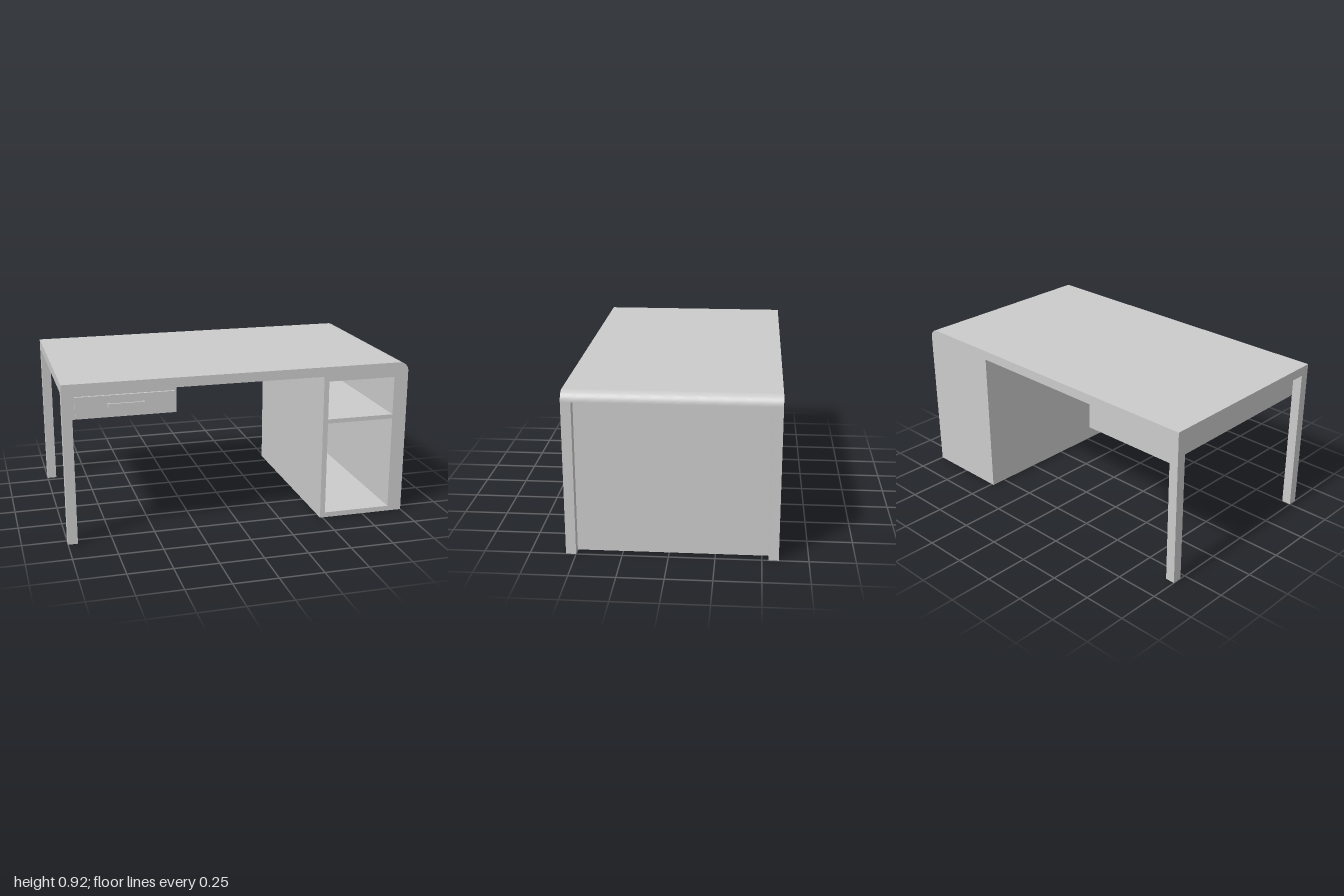
import * as THREE from 'three';

const material = new THREE.MeshStandardMaterial({ color: 0xcccccc });
const BACK = -0.59, FRONT = 0.555, LEG = 0.055, UNDER = 0.86, TOP = 0.915;

export function createModel() {
  const desk = new THREE.Group();
  desk.name = 'desk';

  const add = (name, geometry, parent = desk) => {
    const mesh = new THREE.Mesh(geometry, material);
    mesh.name = name;
    parent.add(mesh);
    return mesh;
  };

  // Box given by its lower and upper corners
  const box = (name, x0, x1, y0, y1, z0, z1, parent) =>
    add(name, new THREE.BoxGeometry(x1 - x0, y1 - y0, z1 - z0), parent)
      .position.set((x0 + x1) / 2, (y0 + y1) / 2, (z0 + z1) / 2);

  // Front outline extruded from z0 to z1
  const extrude = (name, shape, z0, z1) =>
    add(name, new THREE.ExtrudeGeometry(shape, { depth: z1 - z0, bevelEnabled: false, curveSegments: 16 }))
      .position.z = z0;

  const rect = (Type, x0, x1, y0, y1) => new Type([
    new THREE.Vector2(x0, y0), new THREE.Vector2(x1, y0),
    new THREE.Vector2(x1, y1), new THREE.Vector2(x0, y1),
  ]);

  // Top slab with one rounded long corner
  const top = new THREE.Shape();
  top.moveTo(-1, UNDER);
  top.lineTo(1, UNDER);
  top.absarc(1 - LEG, UNDER, LEG, 0, Math.PI / 2, false);
  top.lineTo(-1, TOP);
  top.closePath();
  extrude('desktop', top, BACK, FRONT);

  // Four square legs
  for (const x of [-1, 1 - LEG])
    for (const z of [BACK, FRONT - LEG])
      box('leg', x, x + LEG, 0, UNDER, z, z + LEG);

  // Cabinet with two open compartments and a closed back
  const cabinet = rect(THREE.Shape, 0.485, 1 - LEG, 0, UNDER);
  cabinet.holes.push(
    rect(THREE.Path, 0.515, 0.915, 0.03, 0.58),
    rect(THREE.Path, 0.515, 0.915, 0.605, 0.83),
  );
  extrude('cabinet', cabinet, BACK + 0.03, FRONT);
  box('cabinetBack', 0.485, 1 - LEG, 0, UNDER, BACK, BACK + 0.03);

  // Drawer housing under the other end, running the full depth
  box('drawerHousing', -1 + LEG, -0.375, 0.72, UNDER, BACK, FRONT);

  // Drawer front with a bar handle on two posts
  const drawer = new THREE.Group();
  drawer.name = 'drawer';
  desk.add(drawer);
  box('drawerFront', -0.93, -0.388, 0.733, 0.845, FRONT, 0.568, drawer);
  box('handleBar', -0.755, -0.555, 0.777, 0.803, 0.58, 0.59, drawer);
  for (const x of [-0.755, -0.565])
    box('handlePost', x, x + 0.01, 0.777, 0.803, 0.568, 0.58, drawer);

  return desk;
}
